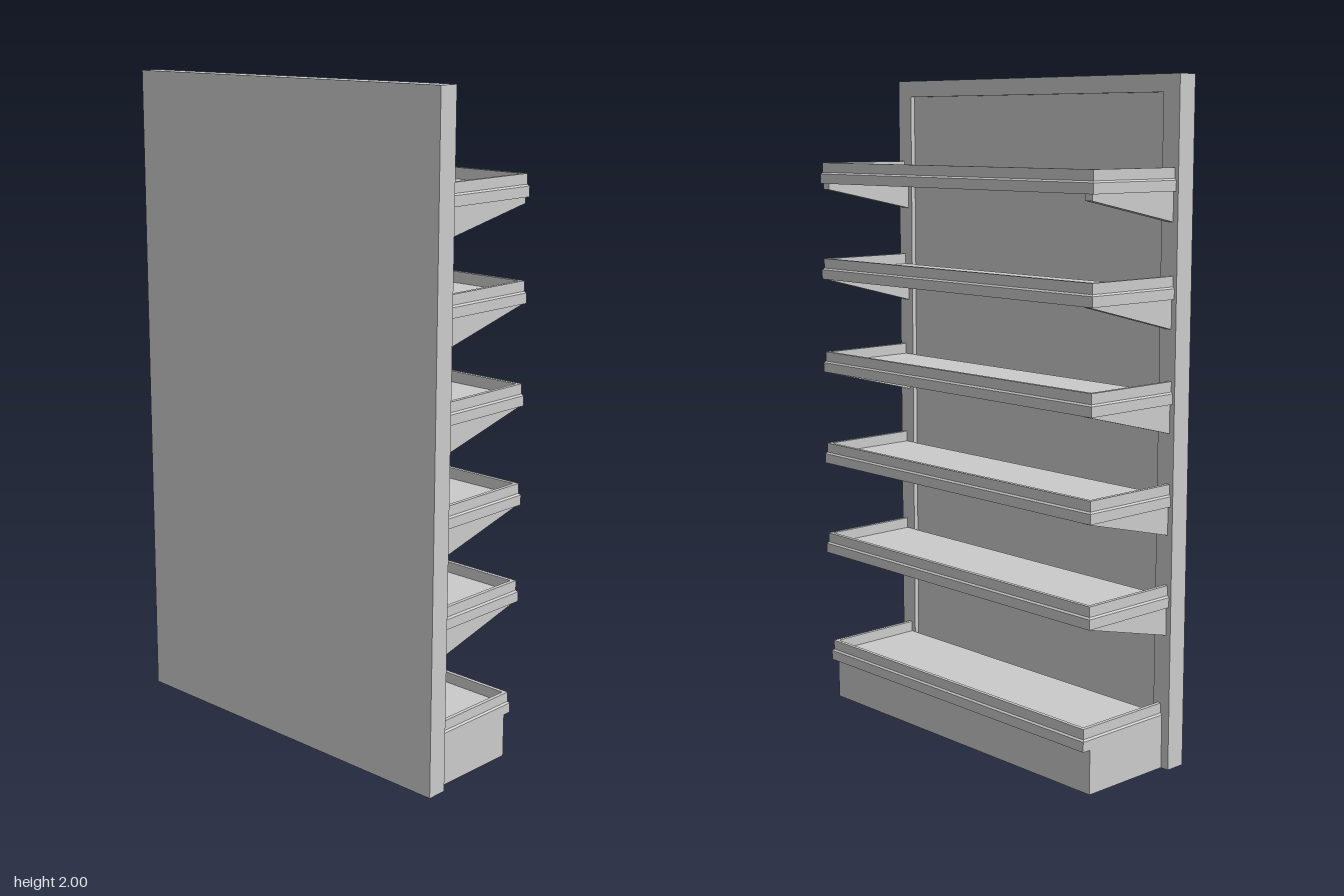
import * as THREE from 'three';

const material = new THREE.MeshStandardMaterial({ color: 0xcccccc, flatShading: true });
const BACK = -0.137; // plane where shelves meet the back panel
const FRONT = 0.187; // front edge of the shelf rim

function add(parent, name, geometry) {
  const mesh = new THREE.Mesh(geometry, material);
  mesh.name = name;
  parent.add(mesh);
  return mesh;
}

function box(parent, name, [x0, x1], [y0, y1], [z0, z1]) {
  const mesh = add(parent, name, new THREE.BoxGeometry(x1 - x0, y1 - y0, z1 - z0));
  mesh.position.set((x0 + x1) / 2, (y0 + y1) / 2, (z0 + z1) / 2);
  return mesh;
}

// Rim section as [outward offset, height below the top], with a stepped price rail
const rimProfile = [[0, 0], [0, -0.03], [0.005, -0.035], [0.005, -0.065], [-0.012, -0.065], [-0.012, 0]];

// Sweeps the rim section round three sides of a shelf with mitred corners
function rimGeometry(halfZ) {
  const n = rimProfile.length;
  const stations = [[BACK, 1, 0], [FRONT, 1, 1], [FRONT, -1, 1], [BACK, -1, 0]];
  const positions = [];
  const index = [];
  for (const [x, side, mitre] of stations) {
    for (const [out, y] of rimProfile) positions.push(x + out * mitre, y, side * (halfZ + out));
  }
  for (let s = 0; s < stations.length - 1; s++) {
    for (let i = 0; i < n; i++) {
      const a = s * n + i, b = s * n + (i + 1) % n;
      index.push(a, b, a + n, b, b + n, a + n);
    }
  }
  const geometry = new THREE.BufferGeometry();
  geometry.setAttribute('position', new THREE.Float32BufferAttribute(positions, 3));
  geometry.setIndex(index);
  const flat = geometry.toNonIndexed();
  flat.computeVertexNormals();
  return flat;
}

// Deck with a raised rim on the front and both ends
function addTray(parent, top, halfZ) {
  add(parent, 'shelfRim', rimGeometry(halfZ)).position.y = top;
  box(parent, 'shelfDeck', [BACK, FRONT - 0.01], [top - 0.064, top - 0.033], [-halfZ + 0.01, halfZ - 0.01]);
}

// Tapered support arm under one end of a shelf
function addBracket(parent, top, backDrop, frontDrop, side) {
  const shape = new THREE.Shape();
  shape.moveTo(BACK, top - 0.06);
  shape.lineTo(BACK, top - backDrop);
  shape.lineTo(FRONT, top - frontDrop);
  shape.lineTo(FRONT, top - 0.06);
  shape.closePath();
  const geometry = new THREE.ExtrudeGeometry(shape, { depth: 0.026, bevelEnabled: false });
  add(parent, 'shelfBracket', geometry).position.z = side * 0.57 - 0.013;
}

export function createModel() {
  const model = new THREE.Group();
  model.name = 'wallShelving';

  // Back panel with a raised frame
  const back = new THREE.Group();
  back.name = 'backPanel';
  model.add(back);
  const frameX = [-0.152, BACK];
  box(back, 'backBoard', [-0.2, -0.152], [0, 2], [-0.6, 0.6]);
  box(back, 'frameTop', frameX, [1.95, 2], [-0.6, 0.6]);
  box(back, 'frameBottom', frameX, [0, 0.06], [-0.54, 0.54]);
  for (const side of [-1, 1]) {
    box(back, 'framePost', frameX, [0, 1.95], side > 0 ? [0.54, 0.6] : [-0.6, -0.54]);
  }

  // Five bracketed shelves
  [0.555, 0.852, 1.148, 1.445, 1.745].forEach((top, i) => {
    const shelf = new THREE.Group();
    shelf.name = 'shelf';
    model.add(shelf);
    addTray(shelf, top, 0.587);
    const frontDrop = i === 4 ? 0.083 : 0.067;
    for (const side of [-1, 1]) addBracket(shelf, top, 0.15, frontDrop, side);
  });

  // Plinth with the lowest shelf on top
  const base = new THREE.Group();
  base.name = 'base';
  model.add(base);
  box(base, 'plinth', [BACK, 0.165], [0, 0.134], [-0.573, 0.573]);
  addTray(base, 0.197, 0.568);

  return model;
}
